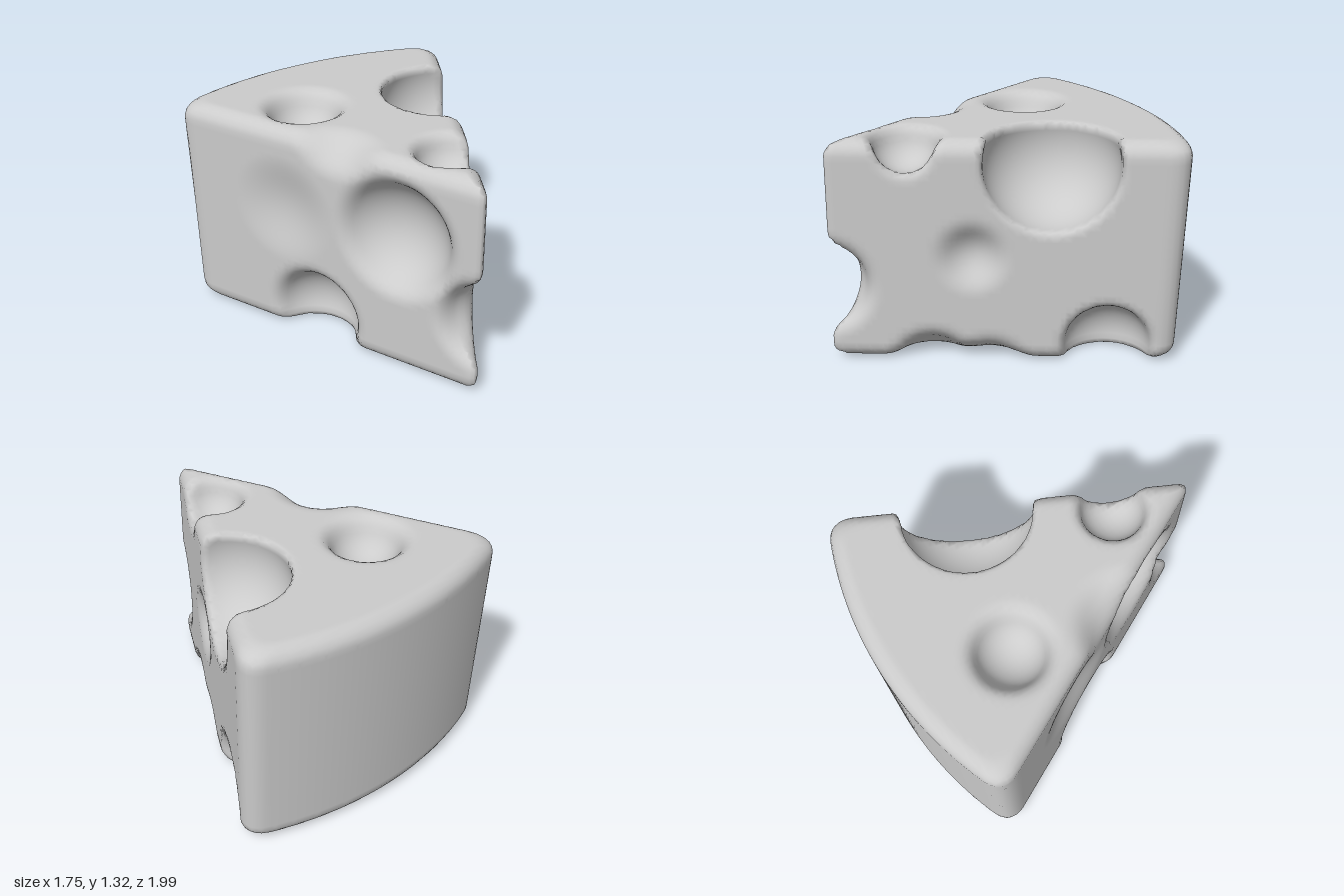
import * as THREE from 'three';

const HEIGHT = 1.32;

// Round holes bitten out of the wedge: [x, y, z, radius, rim softness]
const HOLES = [
  [-0.3, 1.31, -0.36, 0.2, 0.1],     // top, rear
  [0.09, 1.29, 0.56, 0.18, 0.08],    // top, near the tip
  [0.52, 1.18, -0.13, 0.38, 0.05],   // large, right side and top
  [0.44, 0.65, 0.32, 0.16, 0.1],     // small, right side
  [0.73, 0.1, -0.4, 0.25, 0.06],     // right side, bottom
  [0.3, -0.07, 0.5, 0.22, 0.1],      // shallow, right bottom edge
  [0.47, -0.12, 0.22, 0.23, 0.1],    // its continuation to the rear
  [0, 0.46, 1.03, 0.24, 0.1],        // notch in the tip
  [-0.37, 0.85, 0.61, 0.37, 0.07],   // large, left side
  [-0.5, 1.43, 0.24, 0.26, 0.1],     // dip in the left top edge
  [-0.53, 0.16, 0.08, 0.28, 0.08],   // left side, bottom
  [-1.03, 0.82, 0.1, 0.55, 0.06],    // wide shallow dent, left side
];

// Maximum of two distances, blended over a width k
function softMax(a, b, k) {
  const h = Math.max(k - Math.abs(a - b), 0) / k;
  return Math.max(a, b) + h * h * k * 0.25;
}

// Signed distance to the cheese: negative inside
function cheese(x, y, z) {
  // wedge plan: two straight sides, blunt tip, curved rind leaning in below
  const side = (Math.abs(x) - 0.5 * (1.04 - z)) * 0.894;
  const rind = Math.hypot(x, z - 1.2) - 2.2 + 0.04 * (1 - y / HEIGHT);
  let d = softMax(softMax(side, rind, 0.14), z - 1, 0.03);
  // rounded top and bottom edges
  const r = 0.1;
  const cap = Math.abs(y - HEIGHT / 2) - HEIGHT / 2;
  const a = d + r, b = cap + r;
  d = Math.hypot(Math.max(a, 0), Math.max(b, 0)) + Math.min(Math.max(a, b), 0) - r;
  for (const [cx, cy, cz, radius, rim] of HOLES) {
    d = softMax(d, radius - Math.hypot(x - cx, y - cy, z - cz), rim);
  }
  return d;
}

function gradient(p) {
  const e = 0.004;
  return new THREE.Vector3(
    cheese(p.x + e, p.y, p.z) - cheese(p.x - e, p.y, p.z),
    cheese(p.x, p.y + e, p.z) - cheese(p.x, p.y - e, p.z),
    cheese(p.x, p.y, p.z + e) - cheese(p.x, p.y, p.z - e),
  ).divideScalar(2 * e);
}

// Wraps a quad mesh around the zero surface of the cheese
function skin(min, size, step) {
  const n = size.map((s) => Math.ceil(s / step) + 1);
  const stride = [1, n[0], n[0] * n[1]];
  const at = (i, j, k) => i + j * stride[1] + k * stride[2];
  const pos = (i, j, k) => new THREE.Vector3(min[0] + i * step, min[1] + j * step, min[2] + k * step);
  const values = new Float32Array(n[0] * n[1] * n[2]);
  const eachCell = (visit, from, trim) => {
    for (let k = from; k < n[2] - trim; k++)
      for (let j = from; j < n[1] - trim; j++)
        for (let i = from; i < n[0] - trim; i++) visit(i, j, k);
  };
  eachCell((i, j, k) => {
    const p = pos(i, j, k);
    values[at(i, j, k)] = cheese(p.x, p.y, p.z);
  }, 0, 0);

  // one vertex in every cell the surface crosses, pulled onto the surface
  const vertexOf = new Int32Array(values.length).fill(-1);
  const positions = [], normals = [], index = [];
  eachCell((i, j, k) => {
    const base = at(i, j, k);
    const sum = new THREE.Vector3();
    let crossings = 0;
    for (let c = 0; c < 8; c++) {
      const bits = [c & 1, (c >> 1) & 1, (c >> 2) & 1];
      const here = base + bits[0] + bits[1] * stride[1] + bits[2] * stride[2];
      for (let axis = 0; axis < 3; axis++) {
        if (bits[axis]) continue;
        const v0 = values[here], v1 = values[here + stride[axis]];
        if ((v0 < 0) === (v1 < 0)) continue;
        const q = [...bits];
        q[axis] = v0 / (v0 - v1);
        sum.add(pos(i + q[0], j + q[1], k + q[2]));
        crossings++;
      }
    }
    if (!crossings) return;
    const p = sum.divideScalar(crossings);
    for (let t = 0; t < 2; t++) {
      const g = gradient(p);
      const move = -cheese(p.x, p.y, p.z) / Math.max(g.lengthSq(), 0.3);
      p.addScaledVector(g, THREE.MathUtils.clamp(move, -step / 2, step / 2));
    }
    vertexOf[base] = positions.length / 3;
    positions.push(p.x, p.y, p.z);
    normals.push(...gradient(p).normalize().toArray());
  }, 0, 1);

  // one quad around every grid edge that crosses the surface
  eachCell((i, j, k) => {
    const here = at(i, j, k);
    for (let axis = 0; axis < 3; axis++) {
      const inside = values[here] < 0;
      if (inside === values[here + stride[axis]] < 0) continue;
      const u = stride[(axis + 1) % 3], v = stride[(axis + 2) % 3];
      const quad = [here - u - v, here - v, here, here - u].map((c) => vertexOf[c]);
      if (!inside) quad.reverse();
      index.push(quad[0], quad[1], quad[2], quad[0], quad[2], quad[3]);
    }
  }, 1, 1);

  const geometry = new THREE.BufferGeometry();
  geometry.setAttribute('position', new THREE.Float32BufferAttribute(positions, 3));
  geometry.setAttribute('normal', new THREE.Float32BufferAttribute(normals, 3));
  geometry.setIndex(index);
  return geometry;
}

export function createModel() {
  const group = new THREE.Group();
  group.name = 'cheese';
  const wedge = new THREE.Mesh(
    skin([-1.013, -0.117, -1.113], [2.05, 1.6, 2.25], 0.035),
    new THREE.MeshStandardMaterial({ color: 0xcccccc }),
  );
  wedge.name = 'cheeseWedge';
  group.add(wedge);
  return group;
}
